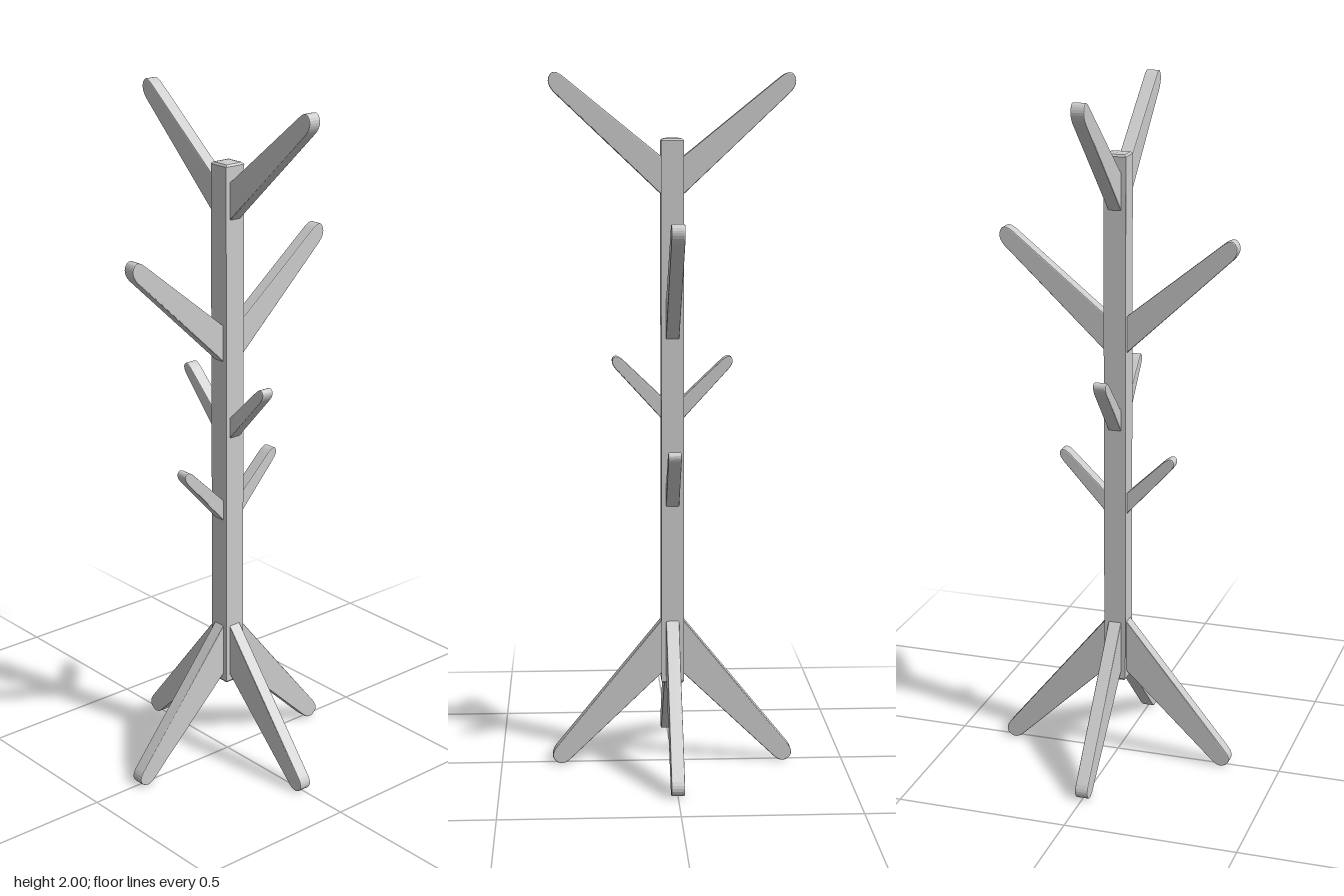
import * as THREE from 'three';

const material = new THREE.MeshStandardMaterial({ color: 0xcccccc });
const THICK = 0.038;
const BEVEL = 0.003;

// Tapered arm: rootLow/rootHigh are heights at the post, low/high are the tip's
// edge ends, and the two corner points shape its rounded end.
function armGeometry({ rootLow, rootHigh, low, lowCorner, highCorner, high }) {
  const shape = new THREE.Shape();
  const mid = [(lowCorner[0] + highCorner[0]) / 2, (lowCorner[1] + highCorner[1]) / 2];
  shape.moveTo(0.025, rootLow);
  shape.lineTo(...low);
  shape.quadraticCurveTo(...lowCorner, ...mid);
  shape.quadraticCurveTo(...highCorner, ...high);
  shape.lineTo(0.025, rootHigh);
  shape.closePath();
  const geometry = new THREE.ExtrudeGeometry(shape, {
    depth: THICK - 2 * BEVEL, curveSegments: 6,
    bevelEnabled: true, bevelSize: BEVEL, bevelOffset: -BEVEL, bevelThickness: BEVEL, bevelSegments: 2,
  });
  return geometry.translate(0, 0, BEVEL - THICK / 2);
}

const largeArm = armGeometry({
  rootLow: -0.005, rootHigh: 0.103,
  low: [0.335, 0.288], lowCorner: [0.356, 0.312], highCorner: [0.335, 0.353], high: [0.307, 0.331],
});
const smallArm = armGeometry({
  rootLow: -0.006, rootHigh: 0.058,
  low: [0.161, 0.143], lowCorner: [0.179, 0.164], highCorner: [0.162, 0.188], high: [0.140, 0.168],
});
const legArm = armGeometry({
  rootLow: 0.275, rootHigh: 0.437,
  low: [0.298, 0.014], lowCorner: [0.322, -0.010], highCorner: [0.363, 0.024], high: [0.335, 0.056],
});

export function createModel() {
  const model = new THREE.Group();

  // Square post with shallow chamfered ends
  const half = 0.0325, edge = 0.008;
  const square = new THREE.Shape();
  const inner = half;
  square.moveTo(-inner, -inner);
  square.lineTo(inner, -inner);
  square.lineTo(inner, inner);
  square.lineTo(-inner, inner);
  square.closePath();
  const postGeometry = new THREE.ExtrudeGeometry(square, {
    depth: 1.58 - 2 * edge,
    bevelEnabled: true, bevelSize: 0.016, bevelOffset: -0.016, bevelThickness: edge, bevelSegments: 2,
  });
  postGeometry.rotateX(-Math.PI / 2).translate(0, 0.24 + edge, 0);
  const post = new THREE.Mesh(postGeometry, material);
  post.name = 'post';
  model.add(post);

  // Opposite arms; turn 0 lies along x, turn 1 along z
  function addPair(name, geometry, y, turn) {
    const pair = new THREE.Group();
    pair.name = name;
    for (const side of [0, 1]) {
      const arm = new THREE.Mesh(geometry, material);
      arm.name = name + (side ? 'B' : 'A');
      arm.rotation.y = turn * Math.PI / 2 + side * Math.PI;
      pair.add(arm);
    }
    pair.position.y = y;
    model.add(pair);
  }

  addPair('topBranch', largeArm, 1.66, 0);
  addPair('upperBranch', largeArm, 1.25, 1);
  addPair('middleBranch', smallArm, 1.02, 0);
  addPair('lowerBranch', smallArm, 0.765, 1);
  addPair('sideLeg', legArm, 0, 0);
  addPair('frontBackLeg', legArm, 0, 1);

  return model;
}
